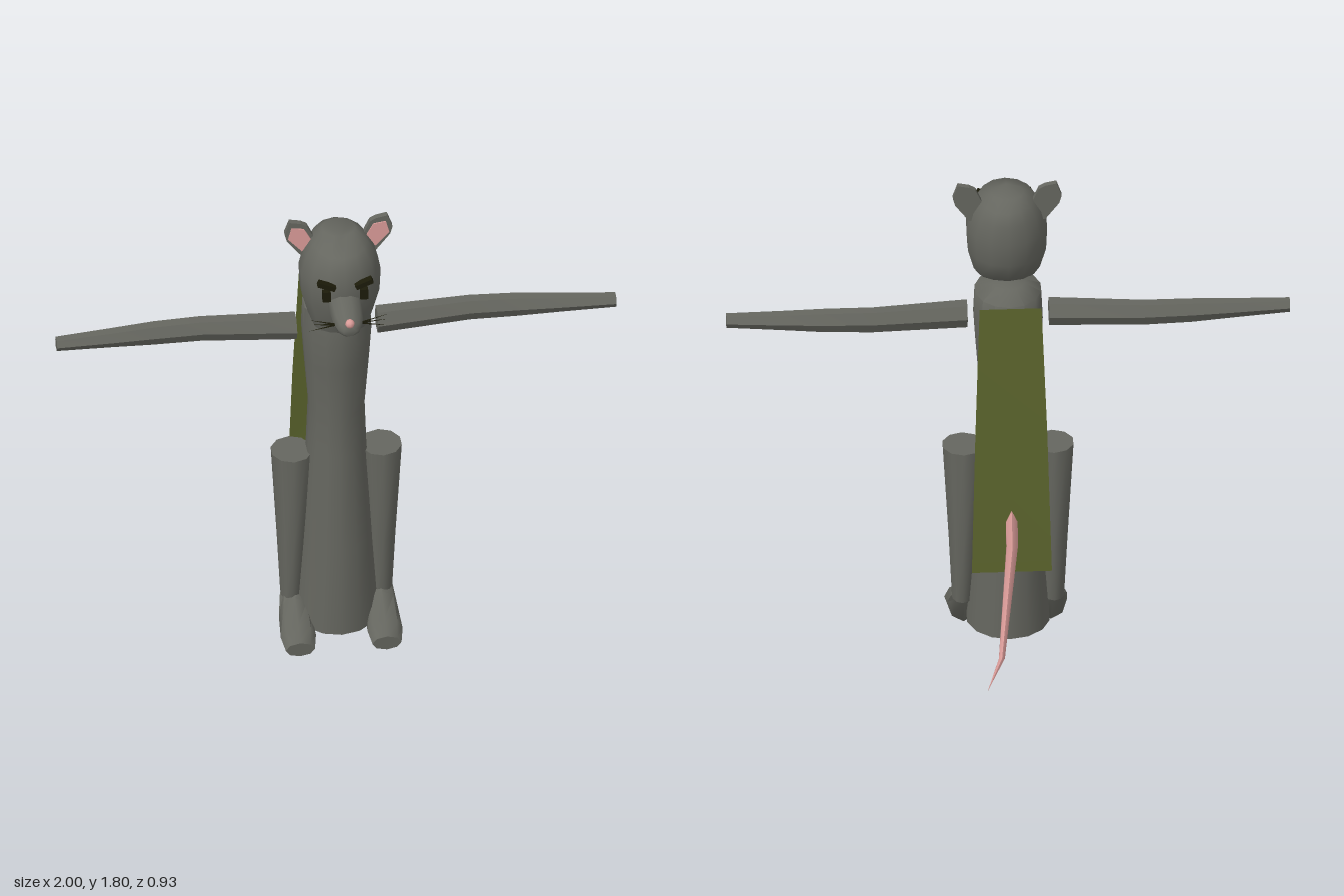
import * as THREE from 'three';
import { toCreasedNormals } from 'three/addons/utils/BufferGeometryUtils.js';

const mat = (name, color, side = THREE.FrontSide) => {
  const m = new THREE.MeshStandardMaterial({ color, side });
  m.name = name;
  return m;
};

// Closed skin through elliptical rings [centre, u axis, v axis]; u x v points along the loft
function loft(rings, sides, crease = 0.95) {
  const pos = [], idx = [];
  for (const [c, u, v] of rings) {
    for (let j = 0; j < sides; j++) {
      const a = (j / sides) * Math.PI * 2, ca = Math.cos(a), sa = Math.sin(a);
      for (let k = 0; k < 3; k++) pos.push(c[k] + u[k] * ca + v[k] * sa);
    }
  }
  const last = rings.length - 1;
  for (let i = 0; i < last; i++) {
    for (let j = 0; j < sides; j++) {
      const n = (j + 1) % sides;
      const a = i * sides + j, b = i * sides + n, c = b + sides, d = a + sides;
      idx.push(a, b, c, a, c, d);
    }
  }
  for (let j = 1; j < sides - 1; j++) {
    idx.push(0, j + 1, j);
    idx.push(last * sides, last * sides + j, last * sides + j + 1);
  }
  const g = new THREE.BufferGeometry();
  g.setAttribute('position', new THREE.Float32BufferAttribute(pos, 3));
  g.setIndex(idx);
  return toCreasedNormals(g, crease);
}

// Upright ring: height, x radius, z centre, z radius, x centre
const level = (y, rx, z, rz, x = 0) => [[x, y, z], [0, 0, rz], [rx, 0, 0]];

export function createModel() {
  const model = new THREE.Group();
  const fur = mat('greyFur', 0x65665f);
  const pink = mat('pinkSkin', 0xdb9c99);
  const dark = mat('darkFace', 0x1c1b0a);
  const olive = mat('oliveCloth', 0x5a632c, THREE.DoubleSide);

  const add = (name, geometry, material, x = 0, y = 0, z = 0) => {
    const mesh = new THREE.Mesh(geometry, material);
    mesh.name = name;
    mesh.position.set(x, y, z);
    model.add(mesh);
    return mesh;
  };

  // Long body with a narrow waist and low domed shoulders
  add('body', loft([
    level(0.05, 0.15, 0.08, 0.16),
    level(0.4, 0.13, 0.08, 0.145),
    level(0.8, 0.107, 0.078, 0.127),
    level(0.97, 0.101, 0.08, 0.117),
    level(1.18, 0.117, 0.08, 0.136),
    level(1.3, 0.125, 0.08, 0.146),
    level(1.405, 0.12, 0.08, 0.138),
    level(1.445, 0.06, 0.06, 0.06),
  ], 14), fur);

  // Head
  add('head', loft([
    level(1.4, 0.098, 0.205, 0.07),
    level(1.45, 0.12, 0.175, 0.122),
    level(1.53, 0.142, 0.17, 0.154),
    level(1.62, 0.146, 0.171, 0.16),
    level(1.69, 0.128, 0.168, 0.15),
    level(1.735, 0.1, 0.163, 0.128),
    level(1.767, 0.06, 0.14, 0.055),
  ], 14), fur);

  // Snout and nose
  const out = (z, y, rx, ry) => [[0, y, z], [rx, 0, 0], [0, ry, 0]];
  add('snout', loft([
    out(0.29, 1.55, 0.062, 0.054),
    out(0.4, 1.541, 0.054, 0.046),
    out(0.435, 1.535, 0.042, 0.035),
    out(0.453, 1.533, 0.024, 0.02),
  ], 10), fur);
  add('nose', new THREE.SphereGeometry(0.017, 8, 6), pink, 0, 1.565, 0.448);

  for (const s of [1, -1]) {
    const side = s > 0 ? 'left' : 'right';

    // Six-sided arms held straight out
    const arm = (x, z, ry, rz) => [[s * x, 1.306, z], [0, 0, rz], [0, -s * ry, 0]];
    add(side + 'Arm', loft([
      arm(0.145, 0.08, 0.05, 0.048),
      arm(0.48, 0.053, 0.046, 0.039),
      arm(0.65, 0.058, 0.043, 0.038),
      arm(0.8, 0.066, 0.034, 0.035),
      arm(1, 0.077, 0.025, 0.028),
    ], 6, 0.6), fur);

    // Legs
    add(side + 'Leg', loft([
      level(0.14, 0.037, 0.08, 0.053, s * 0.163),
      level(0.38, 0.052, 0.077, 0.074, s * 0.16),
      level(0.765, 0.075, 0.082, 0.08, s * 0.16),
    ], 10), fur);

    // Feet: rings run from the ankle forward to the toes
    const foot = (topY, topZ, lowY, lowZ, rx) => [
      [s * 0.155, (topY + lowY) / 2, (topZ + lowZ) / 2],
      [rx, 0, 0],
      [0, (topY - lowY) / 2, (topZ - lowZ) / 2],
    ];
    add(side + 'Foot', loft([
      foot(0.162, 0.095, 0.125, 0.065, 0.046),
      foot(0.158, 0.145, 0, 0.135, 0.058),
      foot(0.1, 0.23, 0, 0.225, 0.063),
      foot(0.06, 0.285, 0, 0.28, 0.052),
    ], 8), fur);

    // Ears with pink linings
    const outline = (pts) => new THREE.Shape(pts.map(([x, y]) => new THREE.Vector2(s * x, y)));
    const ear = outline([[0.08, 1.715], [0.113, 1.785], [0.135, 1.797], [0.175, 1.805],
      [0.193, 1.755], [0.185, 1.725], [0.135, 1.66], [0.1, 1.66]]);
    add(side + 'Ear', new THREE.ExtrudeGeometry(ear, { depth: 0.022, bevelEnabled: false }), fur, 0, 0, 0.124);
    const lining = outline([[0.092, 1.715], [0.124, 1.775], [0.169, 1.782], [0.181, 1.735], [0.132, 1.68]]);
    add(side + 'EarLining', new THREE.ExtrudeGeometry(lining, { depth: 0.004, bevelEnabled: false }), pink, 0, 0, 0.146);

    // Eyes and slanted brows
    add(side + 'Eye', new THREE.BoxGeometry(0.028, 0.042, 0.022), dark, s * 0.067, 1.603, 0.322);
    add(side + 'Brow', new THREE.BoxGeometry(0.065, 0.018, 0.026), dark, s * 0.067, 1.648, 0.323)
      .rotation.z = s * 0.4;

    // Whiskers
    for (const [tipY, tipZ] of [[1.56, 0.4], [1.535, 0.395], [1.51, 0.4]]) {
      const from = new THREE.Vector3(s * 0.04, 1.538, 0.41);
      const dir = new THREE.Vector3(s * 0.142, tipY, tipZ).sub(from);
      const length = dir.length();
      const hair = add(side + 'Whisker', new THREE.ConeGeometry(0.004, length, 4), dark);
      hair.position.copy(from).addScaledVector(dir, 0.5);
      hair.quaternion.setFromUnitVectors(new THREE.Vector3(0, 1, 0), dir.normalize());
    }
  }

  // Cape: a flat sheet widening and swinging back toward the hem
  const cape = new THREE.PlaneGeometry(2, 1, 1, 2);
  const rows = [[1.42, 0.11, -0.09], [0.95, 0.127, -0.138], [0.385, 0.142, -0.175]];
  const p = cape.attributes.position;
  for (let i = 0; i < p.count; i++) {
    const [y, w, z] = rows[Math.floor(i / 2)];
    p.setXYZ(i, p.getX(i) * w, y, z);
  }
  cape.computeVertexNormals();
  add('cape', cape, olive);

  // Tail: tapering bent tube sweeping down and back
  const path = [[0, 0.77, -0.02, 0.048], [0, 0.5, -0.19, 0.038], [0.045, 0.13, -0.345, 0.02], [0.1, 0.07, -0.46, 0.001]];
  add('tail', loft(path.map(([x, y, z, r], i) => {
    const a = path[Math.max(i - 1, 0)], b = path[Math.min(i + 1, path.length - 1)];
    const len = Math.hypot(b[1] - a[1], b[2] - a[2]);
    const dy = (b[1] - a[1]) / len, dz = (b[2] - a[2]) / len;
    return [[x, y, z], [0, -dz * r, dy * r], [r * 0.6, 0, 0]];
  }), 6), pink);

  return model;
}
